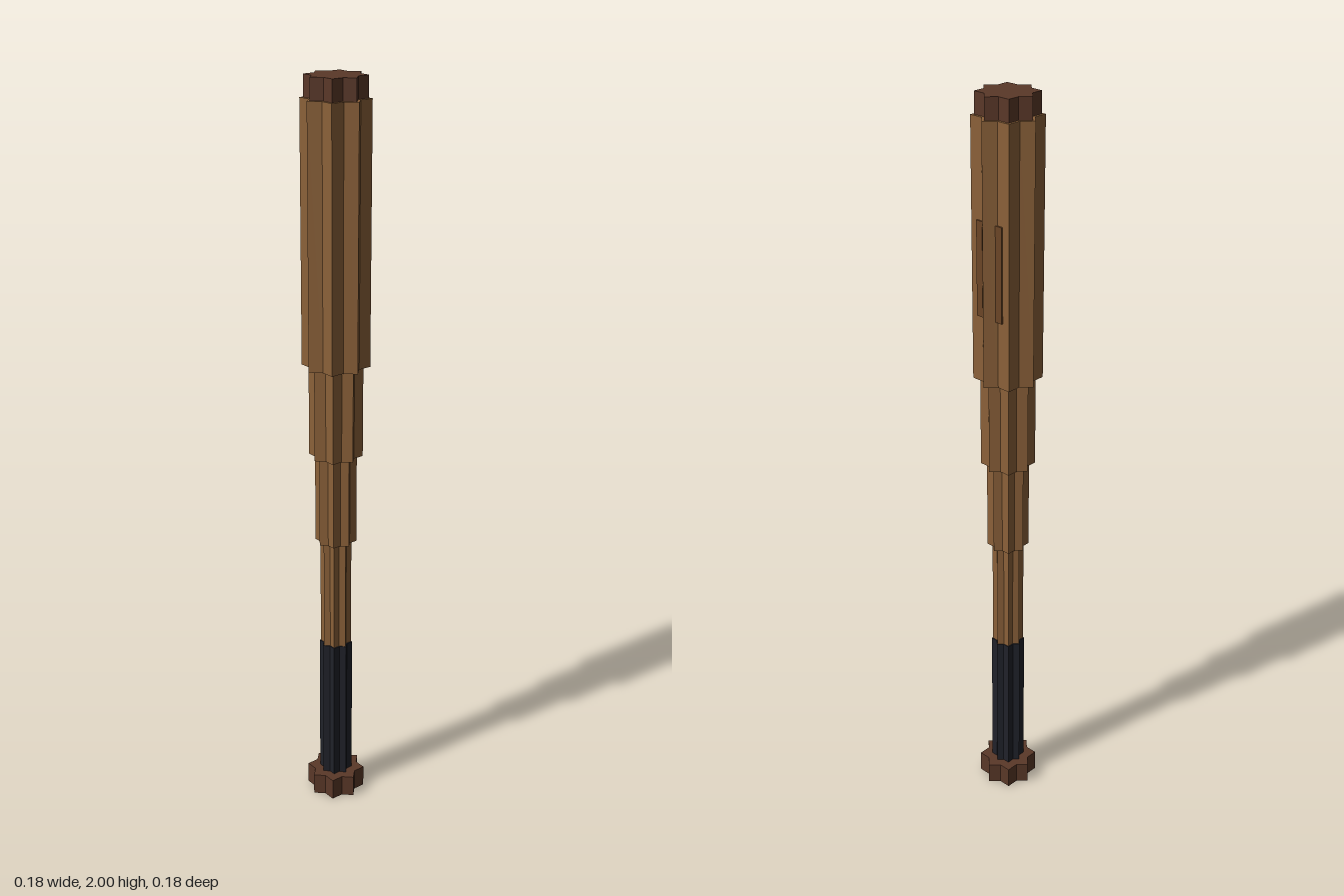
import * as THREE from 'three';

const material = (name, color) => new THREE.MeshStandardMaterial({ name, color });

// Eight-pointed star prism: outline of two equal squares, one turned 45 degrees
function starPrism(half, bottom, top) {
  const outer = half * Math.SQRT2;
  const inner = half / Math.cos(Math.PI / 8);
  const points = [];
  for (let i = 0; i < 16; i++) {
    const r = i % 2 ? inner : outer;
    const a = (i * Math.PI) / 8;
    points.push(new THREE.Vector2(r * Math.cos(a), r * Math.sin(a)));
  }
  const geometry = new THREE.ExtrudeGeometry(new THREE.Shape(points), {
    depth: top - bottom,
    bevelEnabled: false,
  });
  geometry.rotateX(-Math.PI / 2);
  geometry.translate(0, bottom, 0);
  return geometry;
}

export function createModel() {
  const group = new THREE.Group();
  group.name = 'bat';

  const wood = material('wood', 0x8b6139);
  const darkWood = material('dark wood', 0x5a3828);
  const grip = material('grip wrap', 0x20222a);
  const groove = material('groove brown', 0x6b4526);

  // Stacked sections from the knob up: name, half width, bottom, top, material
  const sections = [
    ['knob', 0.056, 0, 0.06, darkWood],
    ['grip', 0.0318, 0.06, 0.467, grip],
    ['handle', 0.0295, 0.467, 0.776, wood],
    ['lowerTaper', 0.039, 0.776, 1.023, wood],
    ['upperTaper', 0.05, 1.023, 1.27, wood],
    ['barrel', 0.0625, 1.27, 1.945, wood],
    ['endCap', 0.056, 1.945, 2, darkWood],
  ];
  for (const [name, half, bottom, top, mat] of sections) {
    const mesh = new THREE.Mesh(starPrism(half, bottom, top), mat);
    mesh.name = name;
    group.add(mesh);
  }

  // Two thin grain strips on the left side of the barrel
  for (const side of [-1, 1]) {
    const strip = new THREE.Mesh(new THREE.BoxGeometry(0.008, 0.247, 0.02), groove);
    strip.name = side > 0 ? 'frontGrainStrip' : 'backGrainStrip';
    strip.position.set(0.063, 1.571, side * 0.032);
    group.add(strip);
  }

  return group;
}
